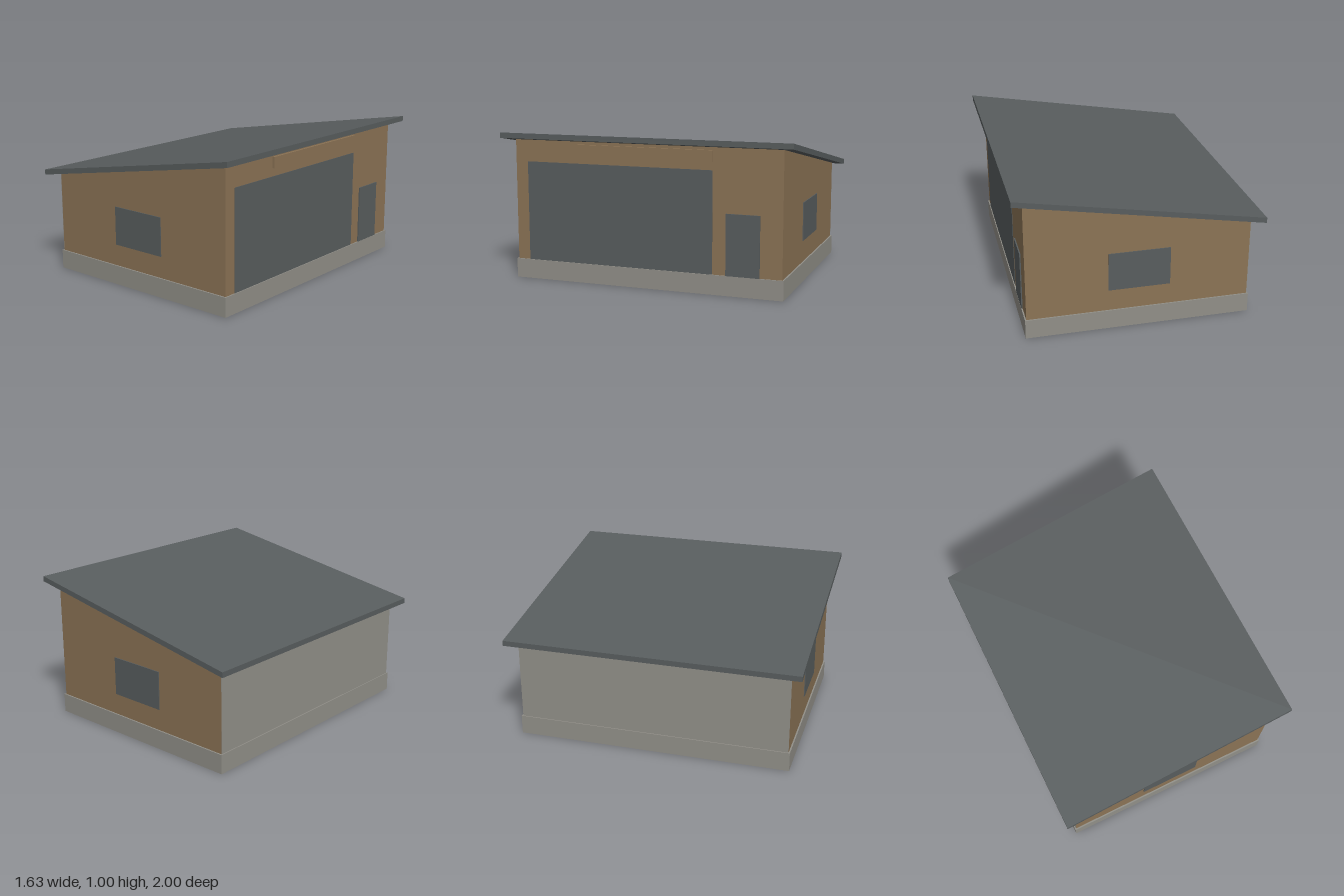
import * as THREE from 'three';

const material = (name, color) => {
  const m = new THREE.MeshStandardMaterial({ color });
  m.name = name;
  return m;
};

export function createModel() {
  const model = new THREE.Group();
  model.name = 'garage';
  const timber = material('brown timber', 0x8b7355);
  const concrete = material('grey concrete', 0x918f88);
  const slate = material('dark slate', 0x585d5e);

  const add = (name, geometry, mat) => {
    const mesh = new THREE.Mesh(geometry, mat);
    mesh.name = name;
    model.add(mesh);
  };
  // Box given by its lower and upper corners
  const box = (name, mat, [x0, y0, z0], [x1, y1, z1]) => {
    const g = new THREE.BoxGeometry(x1 - x0, y1 - y0, z1 - z0);
    g.translate((x0 + x1) / 2, (y0 + y1) / 2, (z0 + z1) / 2);
    add(name, g, mat);
  };
  // Front outline extruded along the whole depth
  const prism = (name, mat, outline, halfDepth) => {
    const shape = new THREE.Shape(outline.map(([x, y]) => new THREE.Vector2(x, y)));
    const g = new THREE.ExtrudeGeometry(shape, { depth: 2 * halfDepth, bevelEnabled: false });
    g.translate(0, 0, -halfDepth);
    add(name, g, mat);
  };
  const under = (x) => 0.817 + 0.175 * x; // slope of the roof underside

  // Foundation, walls and single-pitch roof
  box('foundation', concrete, [-0.747, 0, -0.934], [0.747, 0.13, 0.934]);
  prism('walls', timber, [[-0.737, 0.13], [0.738, 0.13], [0.738, under(0.738)], [-0.737, under(-0.737)]], 0.924);
  const r = 0.815;
  prism('roof', slate, [[-r, under(-r)], [r, under(r)], [r, under(r) + 0.036], [-r, under(-r) + 0.036]], 1);

  // Plain facing on the low side
  box('lowSideFacing', concrete, [-0.74, 0.13, -0.924], [-0.737, under(-0.74), 0.924]);

  // Vehicle door, side door and fascia board on the high side
  box('vehicleDoor', slate, [0.735, 0.13, -0.465], [0.741, 0.8, 0.837]);
  box('sideDoor', slate, [0.737, 0.13, -0.778], [0.746, 0.53, -0.555]);
  box('fasciaBoard', timber, [0.735, 0.854, -0.465], [0.753, 0.927, 0.465]);

  // Matching windows at the front and back
  for (const [name, z] of [['frontWindow', 0.926], ['backWindow', -0.926]])
    box(name, slate, [-0.205, 0.276, z - 0.004], [0.203, 0.537, z + 0.004]);

  return model;
}
